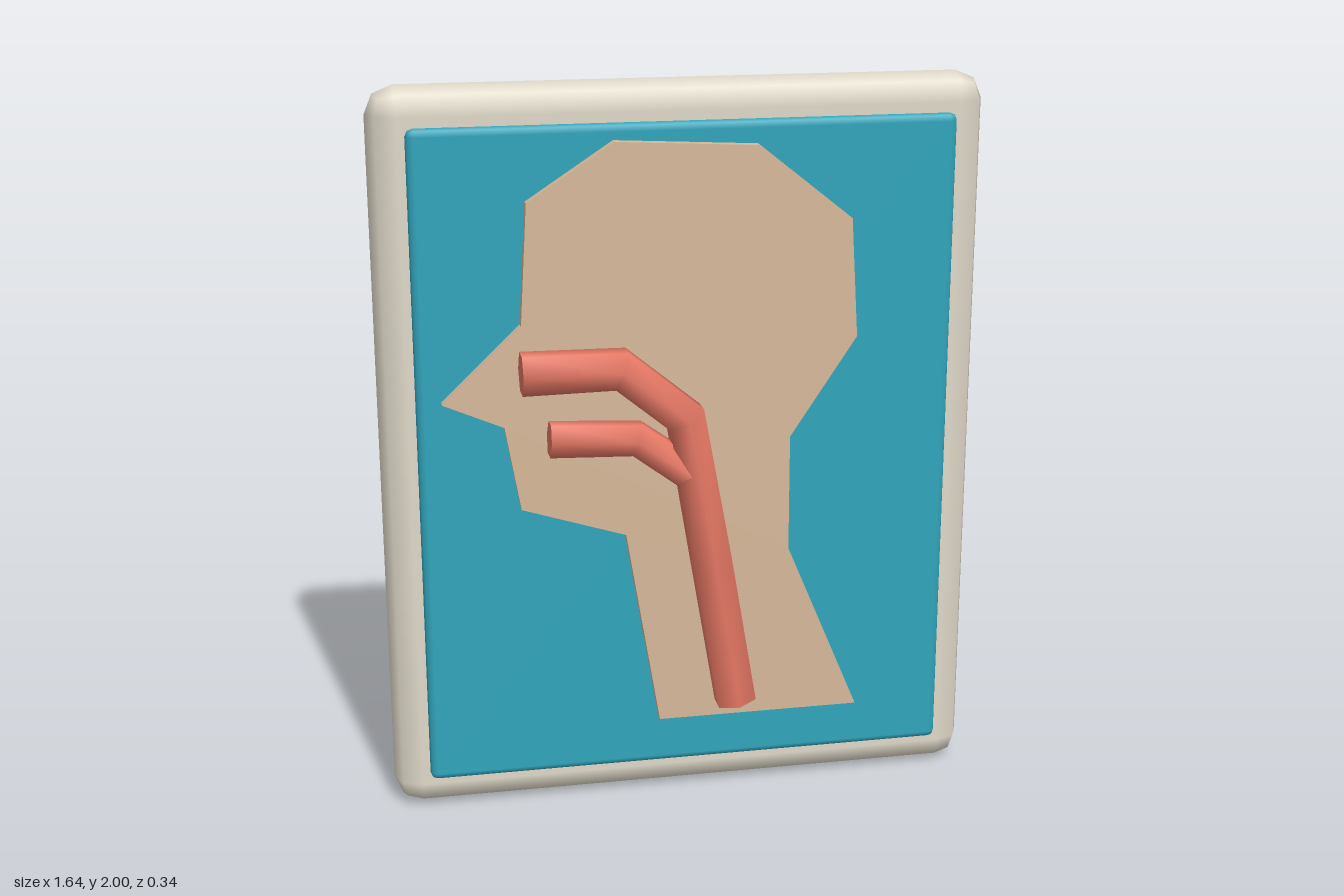
import * as THREE from 'three';
import { RoundedBoxGeometry } from 'three/addons/geometries/RoundedBoxGeometry.js';

const SIDES = 6;

function part(name, geometry, color, y = 0, z = 0) {
  const mesh = new THREE.Mesh(geometry, new THREE.MeshStandardMaterial({ color }));
  mesh.name = name;
  mesh.position.set(0, y, z);
  return mesh;
}

// Six-sided closed pipe along a flat path, one ring per path point
function pipe(path, radius) {
  const pts = path.map(([x, y]) => new THREE.Vector2(x, y));
  const last = pts.length - 1;
  const positions = [], index = [];

  const addRing = (k) => {
    const p = pts[k];
    const tangent = new THREE.Vector2();
    if (k > 0) tangent.add(p.clone().sub(pts[k - 1]).normalize());
    if (k < last) tangent.add(pts[k + 1].clone().sub(p).normalize());
    tangent.normalize();
    for (let i = 0; i < SIDES; i++) {
      const a = ((i + 0.5) / SIDES) * Math.PI * 2;
      const c = Math.cos(a) * radius;
      positions.push(p.x - tangent.y * c, p.y + tangent.x * c, Math.sin(a) * radius);
    }
  };

  // Wall
  for (let k = 0; k <= last; k++) addRing(k);
  for (let k = 0; k < last; k++) {
    for (let i = 0; i < SIDES; i++) {
      const j = (i + 1) % SIDES;
      const a = k * SIDES + i, b = k * SIDES + j;
      index.push(a, b, b + SIDES, a, b + SIDES, a + SIDES);
    }
  }
  // End caps on their own vertices, so the rims stay sharp
  addRing(0);
  addRing(last);
  const start = (last + 1) * SIDES, end = start + SIDES;
  for (let i = 1; i < SIDES - 1; i++) {
    index.push(start, start + i + 1, start + i);
    index.push(end, end + i, end + i + 1);
  }

  const geometry = new THREE.BufferGeometry();
  geometry.setAttribute('position', new THREE.Float32BufferAttribute(positions, 3));
  geometry.setIndex(index);
  geometry.computeVertexNormals();
  return geometry;
}

export function createModel() {
  const group = new THREE.Group();
  group.name = 'airwayWallChart';

  // Backing board and coloured panel
  group.add(part('board', new RoundedBoxGeometry(1.64, 2, 0.15, 1, 0.15 / 2), 0xded8c8, 1, -0.1));
  group.add(part('panel', new RoundedBoxGeometry(1.45, 1.8, 0.04, 1, 0.02), 0x30a4bb, 1, -0.01));

  // Head and neck in profile
  const outline = [
    [-0.09, 0.25], [0.47, 0.25], [0.27, 0.73], [0.27, 1.05], [0.45, 1.32],
    [0.43, 1.64], [0.18, 1.84], [-0.2, 1.86], [-0.43, 1.71], [-0.45, 1.39],
    [-0.66, 1.19], [-0.5, 1.12], [-0.46, 0.89], [-0.18, 0.8],
  ].map(([x, y]) => new THREE.Vector2(x, y));
  const head = new THREE.ExtrudeGeometry(new THREE.Shape(outline), { depth: 0.03, bevelEnabled: false });
  group.add(part('headProfile', head, 0xd6b899, 0, 0.02));

  // Nasal passage running down into the windpipe, and the mouth passage joining it
  const airway = pipe([[-0.46, 1.28], [-0.2, 1.28], [-0.03, 1.14], [0.04, 0.74], [0.11, 0.32]], 0.06);
  const mouth = pipe([[-0.39, 1.1], [-0.16, 1.09], [-0.01, 0.98]], 0.05);
  group.add(part('nasalAirway', airway, 0xe27562, 0, 0.11));
  group.add(part('mouthAirway', mouth, 0xe27562, 0, 0.11));

  return group;
}
